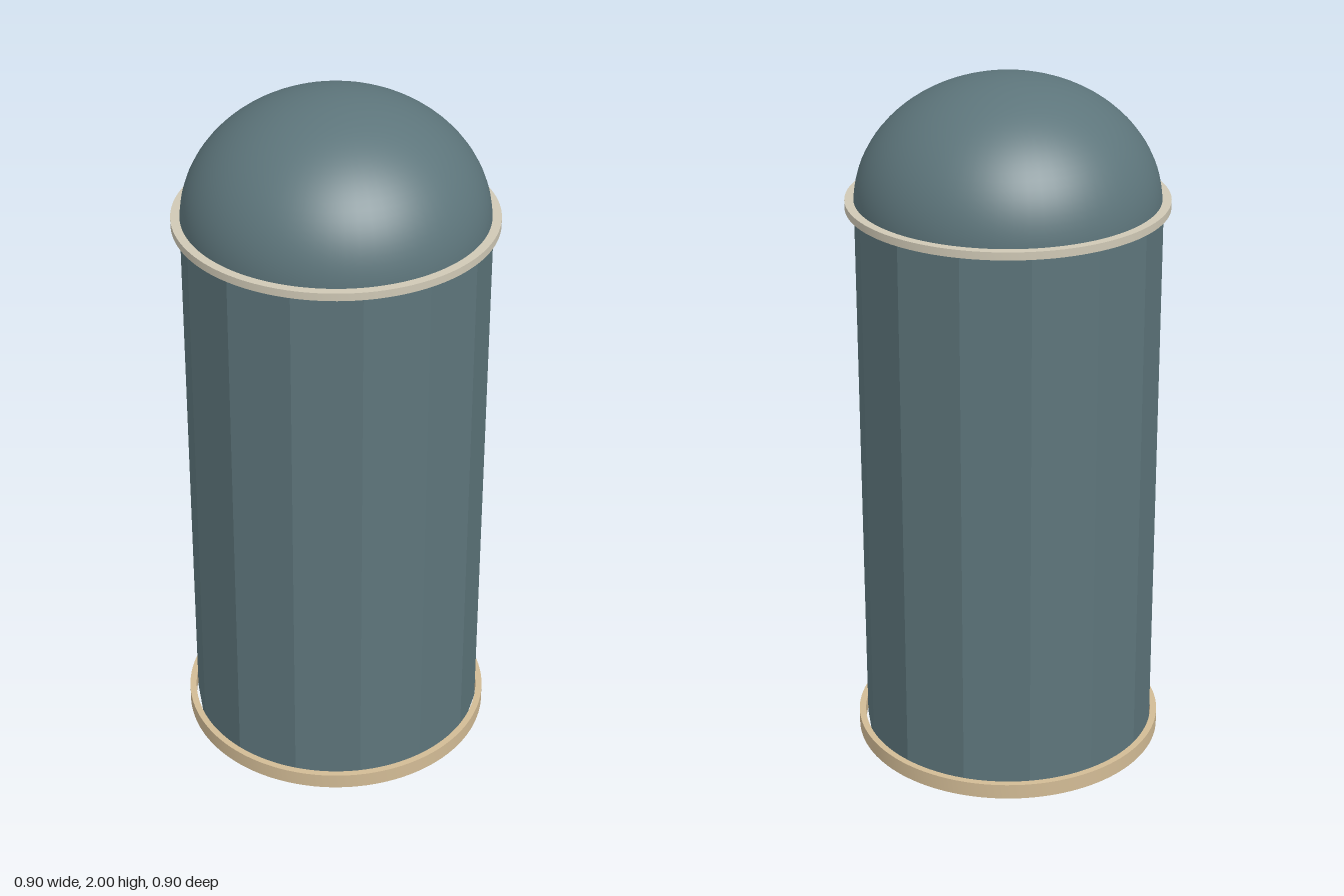
import * as THREE from 'three';
import { toCreasedNormals } from 'three/addons/utils/BufferGeometryUtils.js';

export function createModel() {
  const model = new THREE.Group();
  model.name = 'domedCanister';

  const material = (name, color, extra = {}) => {
    const m = new THREE.MeshStandardMaterial({ color, ...extra });
    m.name = name;
    return m;
  };
  const slate = material('slate', 0x5d757b, { side: THREE.DoubleSide });
  const slateFlat = slate; // body facets come from split normals
  const tan = material('tan', 0xd2bb95);
  const stone = material('stone', 0xcfc8b5);

  const add = (name, geometry, mat, y) => {
    const mesh = new THREE.Mesh(geometry, mat);
    mesh.name = name;
    mesh.position.y = y;
    model.add(mesh);
  };

  // Flat washer standing on its local y = 0
  const band = (outer, inner, height) => {
    const shape = new THREE.Shape().absarc(0, 0, outer, 0, Math.PI * 2, false);
    shape.holes.push(new THREE.Path().absarc(0, 0, inner, 0, Math.PI * 2, true));
    const g = new THREE.ExtrudeGeometry(shape, { depth: height, bevelEnabled: false, curveSegments: 64 });
    g.rotateX(-Math.PI / 2);
    return toCreasedNormals(g, Math.PI / 6);
  };

  // Fourteen-sided open tube, with corners on the x axis
  const height = 1.65;
  const body = new THREE.CylinderGeometry(0.428, 0.428, height, 14, 1, true);
  body.rotateY(Math.PI / 2);
  add('body', toCreasedNormals(body, 0.1), slateFlat, height / 2);

  // Smooth, slightly flattened dome
  const dome = new THREE.SphereGeometry(0.424, 64, 24, 0, Math.PI * 2, 0, Math.PI / 2);
  dome.scale(1, 0.35 / 0.424, 1);
  add('dome', dome, slate, height);

  // Trim bands
  add('baseBand', band(0.449, 0.43, 0.045), tan, 0);
  add('collarBand', band(0.449, 0.424, 0.022), stone, 1.64);

  return model;
}
